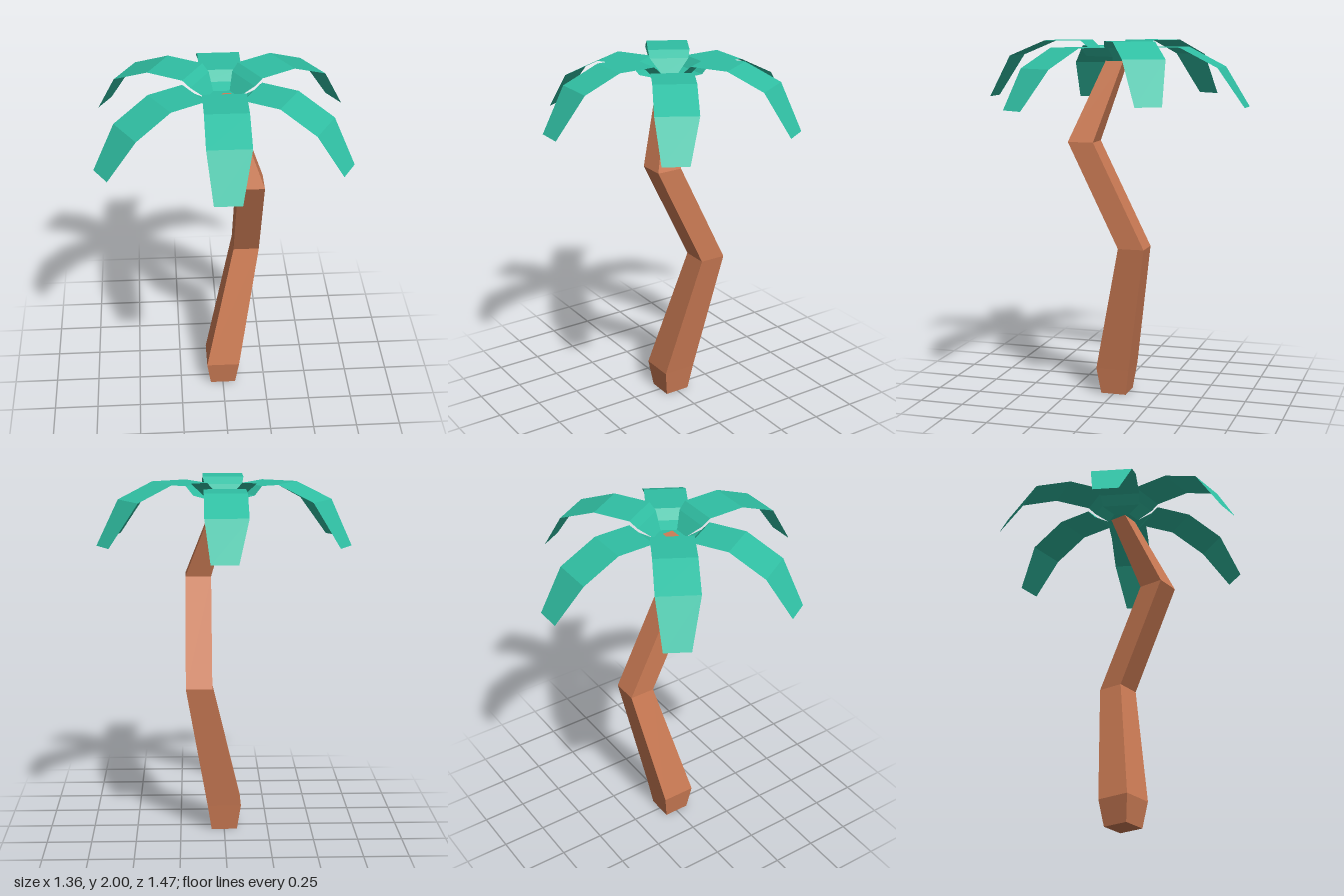
import * as THREE from 'three';

const bark = new THREE.MeshStandardMaterial({ color: 0xcd7c55, flatShading: true });
const leaf = new THREE.MeshStandardMaterial({ color: 0x30bfa3, flatShading: true, side: THREE.DoubleSide });

const HUB_Y = 1.89;

// Square trunk sections from the ground up: [centre x, y, centre z, half width]
const trunkSections = [
  [0, 0, 0, 0.073],
  [0, 0.15, 0, 0.095],
  [0.142, 0.873, -0.142, 0.073],
  [0.142, 1.453, 0.145, 0.072],
  [0, HUB_Y, 0, 0.05],
];

// Frond rows from the hub outwards: [radius, y, half width, sideways shift]
const frondRows = (top, inner, bend) => [
  [0.075, HUB_Y, 0.043, 0],
  [0.133, inner, 0.105, 0],
  [0.175, top, 0.114, 0],
  [0.383, top, 0.114, 0],
  [0.59, bend, 0.114, 0],
  [0.735, top - 0.317, 0.071, -0.014],
];

function makeTrunk() {
  const n = trunkSections.length - 1;
  const geo = new THREE.BoxGeometry(2, n, 2, 1, n, 1);
  const p = geo.attributes.position;
  for (let i = 0; i < p.count; i++) {
    const [cx, y, cz, half] = trunkSections[Math.round(p.getY(i) + n / 2)];
    p.setXYZ(i, cx + p.getX(i) * half, y, cz + p.getZ(i) * half);
  }
  geo.computeVertexNormals();
  const mesh = new THREE.Mesh(geo, bark);
  mesh.name = 'trunk';
  return mesh;
}

function makeFrondGeometry(rows) {
  const n = rows.length - 1;
  const geo = new THREE.PlaneGeometry(2, n, 1, n);
  const p = geo.attributes.position;
  for (let i = 0; i < p.count; i++) {
    const [r, y, half, shift] = rows[Math.round(n / 2 - p.getY(i))];
    p.setXYZ(i, p.getX(i) * half + shift, y, r);
  }
  geo.computeVertexNormals();
  return geo;
}

export function createModel() {
  const palm = new THREE.Group();
  palm.name = 'palmTree';
  palm.add(makeTrunk());

  const crown = new THREE.Group();
  crown.name = 'crown';
  palm.add(crown);

  // Flat six-sided centre joining the fronds
  const hub = new THREE.Mesh(new THREE.CircleGeometry(0.087, 6).rotateX(-Math.PI / 2), leaf);
  hub.name = 'crownCentre';
  hub.position.y = HUB_Y;
  crown.add(hub);

  // High and low fronds alternate around the hub
  const high = makeFrondGeometry(frondRows(2, 1.963, 1.915));
  const low = makeFrondGeometry(frondRows(1.965, 1.915, 1.86));
  for (let i = 0; i < 6; i++) {
    const frond = new THREE.Mesh(i % 2 ? low : high, leaf);
    frond.name = `frond${i + 1}`;
    frond.rotation.y = (i * Math.PI) / 3;
    crown.add(frond);
  }
  return palm;
}
